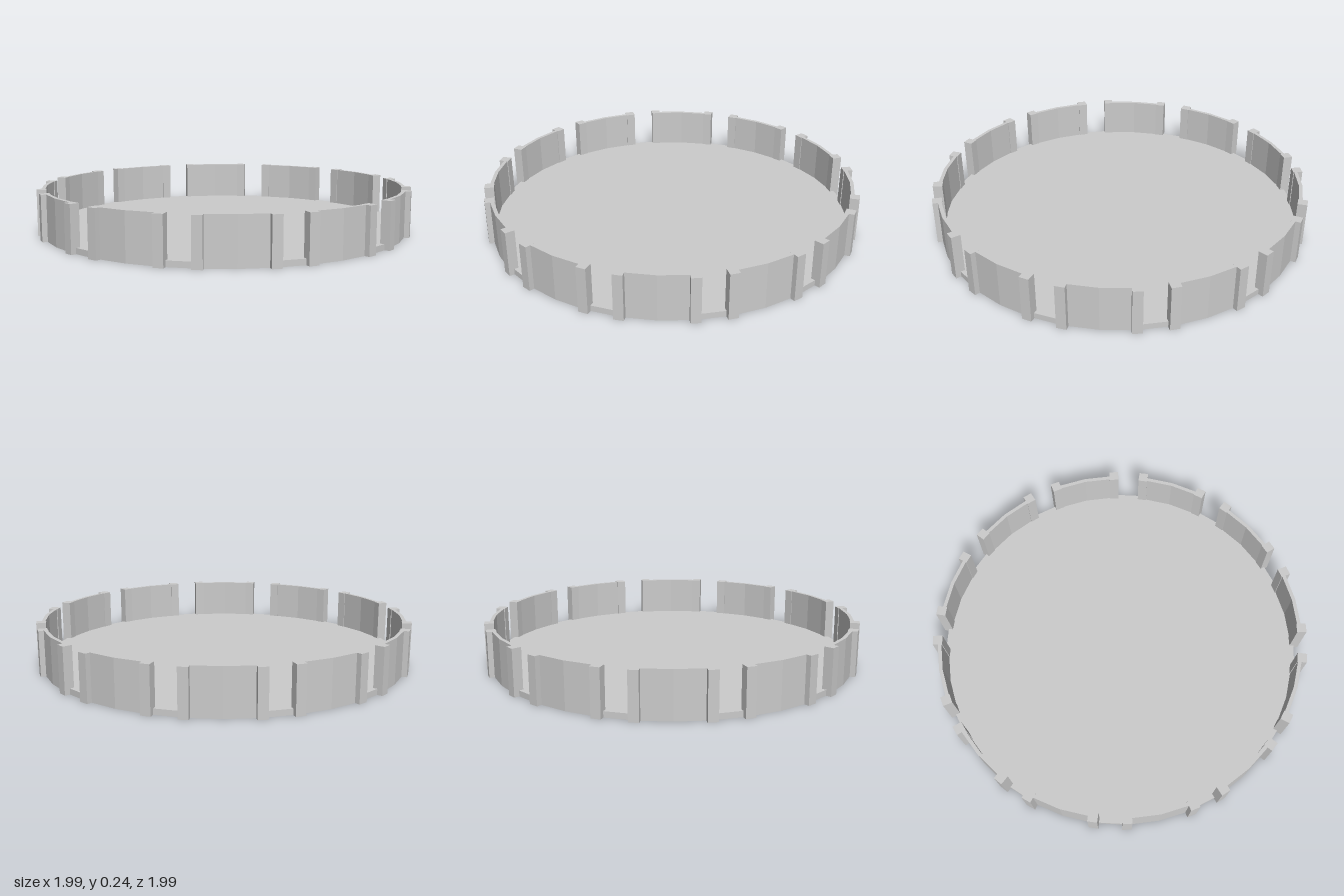
import * as THREE from 'three';

const HEIGHT = 0.24, FLOOR = 0.03;
const OUTER = 0.974, INNER = 0.955;
const rad = THREE.MathUtils.degToRad;

const material = new THREE.MeshStandardMaterial({ color: 0xcccccc, flatShading: true });

// Curved panel with two facets, spanning 5 to 25 degrees from the +z axis
function panelGeometry() {
  const angles = [5, 15, 25];
  const at = (r, a) => new THREE.Vector2(r * Math.sin(rad(a)), -r * Math.cos(rad(a)));
  const outline = [
    ...angles.map(a => at(OUTER, a)),
    ...angles.slice().reverse().map(a => at(INNER, a)),
  ];
  const geometry = new THREE.ExtrudeGeometry(new THREE.Shape(outline), {
    depth: HEIGHT - FLOOR, bevelEnabled: false,
  });
  return geometry.rotateX(-Math.PI / 2).translate(0, FLOOR, 0);
}

export function createModel() {
  const model = new THREE.Group();
  model.name = 'roundTray';

  // Round floor disc
  const floor = new THREE.Mesh(
    new THREE.CylinderGeometry(OUTER, OUTER, FLOOR, 36, 1, false, rad(5)), material);
  floor.name = 'floor';
  floor.position.y = FLOOR / 2;
  model.add(floor);

  // Twelve wall sections, each a panel with a post at either end
  const panelGeo = panelGeometry();
  const postGeo = new THREE.BoxGeometry(0.05, HEIGHT, 0.05).translate(0, HEIGHT / 2, 0.974);
  for (let i = 0; i < 12; i++) {
    const section = new THREE.Group();
    section.name = `wallSection${i + 1}`;
    section.rotation.y = rad(30 * i);

    const panel = new THREE.Mesh(panelGeo, material);
    panel.name = 'wallPanel';
    section.add(panel);

    for (const angle of [5, 25]) {
      const post = new THREE.Mesh(postGeo, material);
      post.name = 'endPost';
      post.rotation.y = rad(angle);
      section.add(post);
    }
    model.add(section);
  }
  return model;
}
